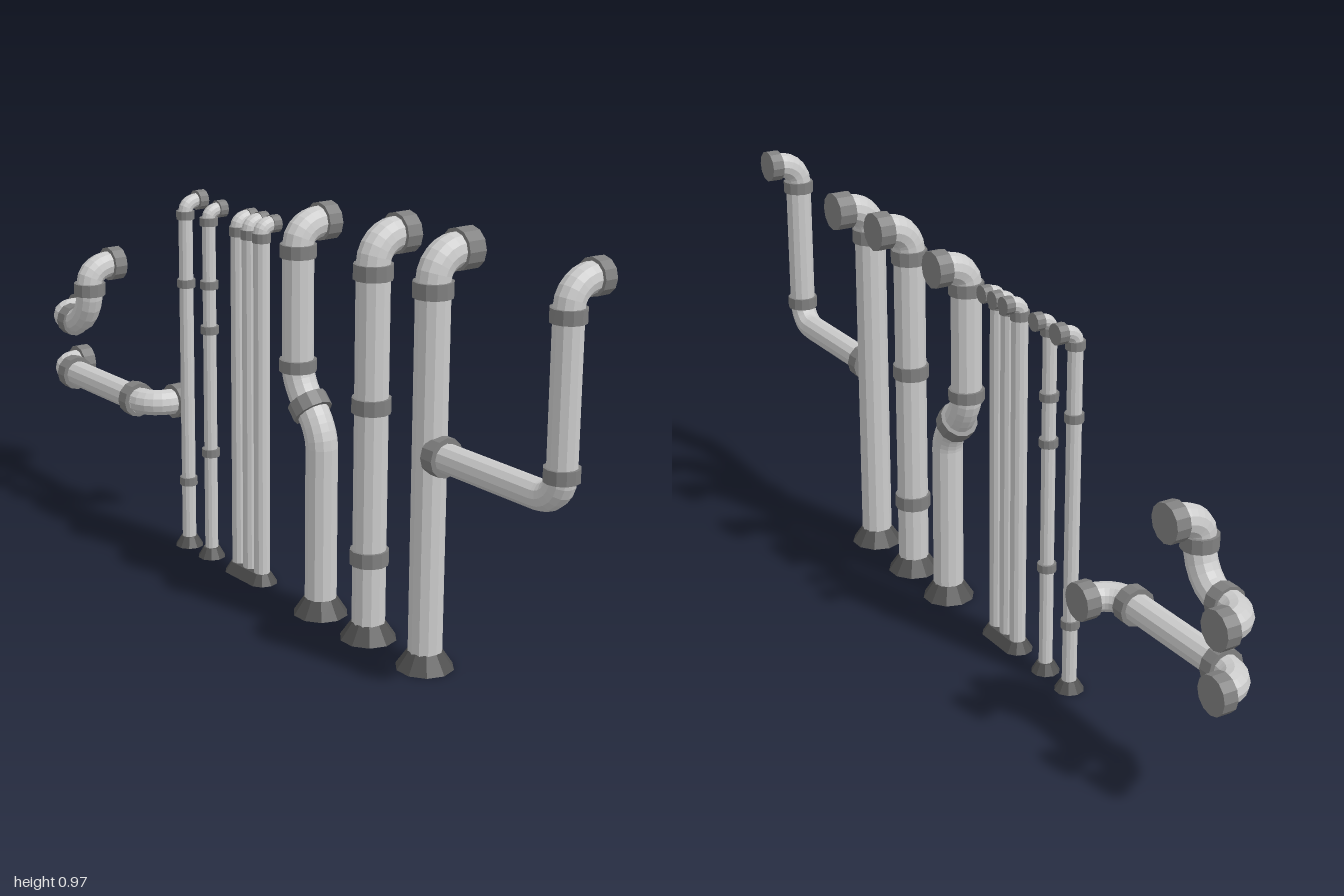
import * as THREE from 'three';
import { ConvexGeometry } from 'three/addons/geometries/ConvexGeometry.js';

const AXIS = -0.02; // every run stands in the plane x = AXIS
const SIDES = 12;

export function createModel() {
  const model = new THREE.Group();
  const material = (color) =>
    new THREE.MeshStandardMaterial({ color, flatShading: true, side: THREE.DoubleSide });
  const pipeMat = material(0xcccccc);
  const fittingMat = material(0x808080);
  const footMat = material(0x505050);
  const P = (z, y, x = AXIS) => new THREE.Vector3(x, y, z);

  function add(group, name, geometry, mat) {
    const mesh = new THREE.Mesh(geometry, mat);
    mesh.name = name;
    group.add(mesh);
    return mesh;
  }

  function run(name) {
    const group = new THREE.Group();
    group.name = name;
    model.add(group);
    return group;
  }

  // Cylinder between two points
  function rod(group, name, a, b, r, mat) {
    const dir = b.clone().sub(a);
    const mesh = add(group, name, new THREE.CylinderGeometry(r, r, dir.length(), SIDES), mat);
    mesh.position.copy(a).add(b).multiplyScalar(0.5);
    mesh.quaternion.setFromUnitVectors(new THREE.Vector3(0, 1, 0), dir.normalize());
  }
  const pipe = (g, a, b, r) => rod(g, 'pipe', a, b, r, pipeMat);
  const collar = (g, a, b, r) => rod(g, 'collar', a, b, r, fittingMat);

  // Rounded bend from a to b around a corner point
  function bend(group, a, corner, b, r) {
    const k = 0.5523;
    const curve = new THREE.CubicBezierCurve3(
      a, a.clone().lerp(corner, k), b.clone().lerp(corner, k), b);
    add(group, 'bend', new THREE.TubeGeometry(curve, 6, r, SIDES), pipeMat);
  }

  // Elbow turning towards +x, closed by a round end cap
  function outlet(group, start, z, y, r, capR, x0, x1) {
    bend(group, start, P(z, y), P(z, y, x0 + 0.003), r);
    rod(group, 'endCap', P(z, y, x0), P(z, y, x1), capR, fittingMat);
  }

  function foot(group, z, rTop, rBottom, h) {
    const mesh = add(group, 'foot', new THREE.CylinderGeometry(rTop, rBottom, h, 10), footMat);
    mesh.position.set(AXIS, h / 2, z);
  }

  // Upright pipe with collars at given heights and an outlet on top
  function upright(group, { z, r, top, collars, collarR, collarH, capY, capR, cap }) {
    pipe(group, P(z, 0.01), P(z, top), r);
    for (const y of [...collars, top - collarH / 2]) {
      collar(group, P(z, y - collarH / 2), P(z, y + collarH / 2), collarR);
    }
    outlet(group, P(z, top), z, capY, r, capR, cap[0], cap[1]);
  }

  // Tall pipe with a side branch that rises again
  const wide = { r: 0.038, top: 0.855, collarR: 0.044, collarH: 0.034, capY: 0.912, capR: 0.046 };
  const branched = run('branchedPipe');
  upright(branched, { ...wide, z: 0.573, collars: [], cap: [0.038, 0.082] });
  foot(branched, 0.573, 0.038, 0.065, 0.04);
  pipe(branched, P(0.573, 0.488), P(0.905, 0.488), 0.032);
  collar(branched, P(0.594, 0.488), P(0.628, 0.488), 0.044);
  bend(branched, P(0.905, 0.488), P(0.963, 0.488), P(0.963, 0.545), 0.032);
  collar(branched, P(0.963, 0.533), P(0.963, 0.562), 0.038);
  pipe(branched, P(0.963, 0.54), P(0.963, 0.88), 0.032);
  collar(branched, P(0.963, 0.851), P(0.963, 0.88), 0.038);
  outlet(branched, P(0.963, 0.88), 0.963, 0.93, 0.032, 0.039, 0.036, 0.067);

  // Tall straight pipe in three lengths
  const jointed = run('jointedPipe');
  upright(jointed, { ...wide, z: 0.379, collars: [0.194, 0.543], cap: [0.038, 0.077] });
  foot(jointed, 0.379, 0.038, 0.065, 0.04);

  // Offset pipe with a slanting joint
  const offset = run('offsetPipe');
  foot(offset, 0.205, 0.038, 0.064, 0.04);
  pipe(offset, P(0.205, 0.01), P(0.205, 0.4), 0.037);
  bend(offset, P(0.205, 0.4), P(0.205, 0.446), P(0.163, 0.483), 0.037);
  collar(offset, P(0.173, 0.472), P(0.148, 0.497), 0.047);
  bend(offset, P(0.163, 0.483), P(0.115, 0.525), P(0.115, 0.57), 0.037);
  collar(offset, P(0.115, 0.558), P(0.115, 0.586), 0.043);
  pipe(offset, P(0.115, 0.565), P(0.115, 0.85), 0.036);
  collar(offset, P(0.115, 0.82), P(0.115, 0.85), 0.042);
  outlet(offset, P(0.115, 0.85), 0.115, 0.893, 0.036, 0.044, 0.036, 0.072);

  // Three thin pipes sharing one long foot
  const triple = run('triplePipes');
  const thin = { r: 0.019, top: 0.85, collarR: 0.022, collarH: 0.022, capY: 0.867, capR: 0.021 };
  const tripleZ = [-0.024, -0.069, -0.114];
  for (const z of tripleZ) upright(triple, { ...thin, z, collars: [], cap: [0.003, 0.025] });
  const rim = [];
  for (const z of [tripleZ[0], tripleZ[2]]) {
    for (let i = 0; i < 10; i++) {
      const a = (i / 10) * Math.PI * 2;
      for (const [r, y] of [[0.037, 0], [0.022, 0.025]]) {
        rim.push(P(z + r * Math.cos(a), y, AXIS + r * Math.sin(a)));
      }
    }
  }
  add(triple, 'sharedFoot', new ConvexGeometry(rim), footMat);

  // Two single thin pipes
  const thinA = run('thinPipeFourJoints');
  upright(thinA, { ...thin, z: -0.235, r: 0.016, collarH: 0.019, collars: [0.27, 0.578, 0.688],
    cap: [0.003, 0.024] });
  foot(thinA, -0.235, 0.02, 0.034, 0.025);
  const thinB = run('thinPipeThreeJoints');
  upright(thinB, { ...thin, z: -0.333, r: 0.017, collarH: 0.02, collars: [0.17, 0.673],
    capY: 0.872, capR: 0.024, cap: [0.01, 0.033] });
  foot(thinB, -0.333, 0.02, 0.035, 0.025);

  // Horizontal pipe with an outlet at each end
  const level = run('horizontalPipe');
  const levelY = 0.323;
  pipe(level, P(-0.55, levelY), P(-0.89, levelY), 0.033);
  collar(level, P(-0.554, levelY), P(-0.586, levelY), 0.044);
  collar(level, P(-0.857, levelY), P(-0.889, levelY), 0.044);
  outlet(level, P(-0.554, levelY), -0.496, levelY, 0.033, 0.044, 0.04, 0.076);
  outlet(level, P(-0.889, levelY), -0.956, levelY, 0.033, 0.044, 0.036, 0.07);

  // Short double elbow
  const elbow = run('elbowPipe');
  outlet(elbow, P(-0.785, 0.585), -0.785, 0.627, 0.034, 0.044, 0.036, 0.07);
  collar(elbow, P(-0.785, 0.553), P(-0.785, 0.585), 0.041);
  bend(elbow, P(-0.785, 0.57), P(-0.785, 0.468), P(-0.87, 0.468), 0.034);
  collar(elbow, P(-0.857, 0.468), P(-0.889, 0.468), 0.041);
  outlet(elbow, P(-0.889, 0.468), -0.956, 0.468, 0.034, 0.044, 0.036, 0.07);

  return model;
}
